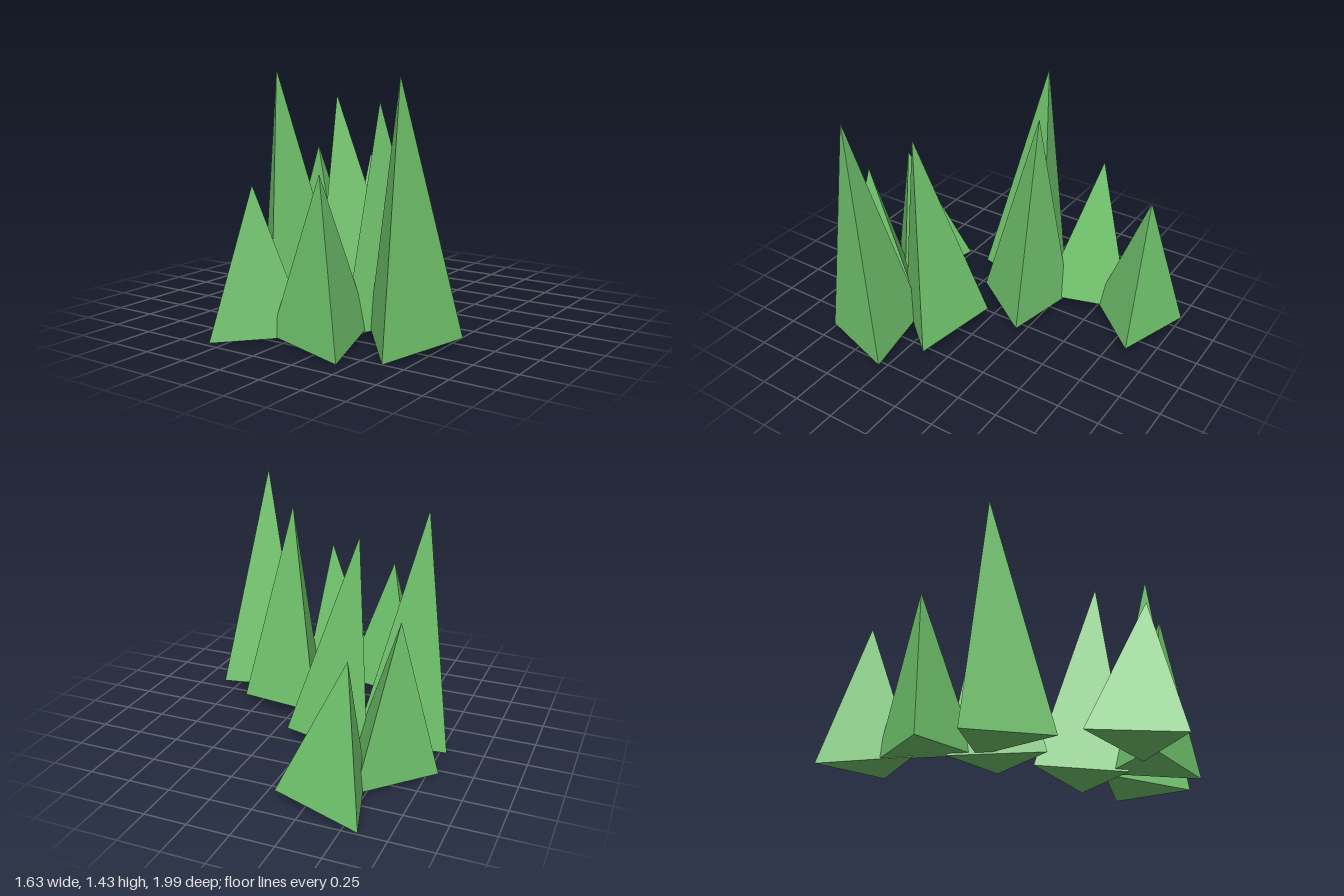
import * as THREE from 'three';

const UP = new THREE.Vector3(0, 1, 0);
const RADIUS = 0.31;

// Each blade: centre of its base, its tip, and the bearing of one base corner (degrees)
const BLADES = [
  { base: [-0.37, 0.036, -0.785], tip: [-0.45, 0.845, -0.79], bearing: 104 },
  { base: [-0.517, 0.03, -0.388], tip: [-0.6, 0.93, -0.4], bearing: 40 },
  { base: [-0.149, 0.055, -0.122], tip: [-0.264, 1.28, -0.133], bearing: 97 },
  { base: [-0.494, 0.037, 0.03], tip: [-0.613, 1.43, 0.012], bearing: 75.6 },
];

// Three-sided spike, its base square to its leaning axis
function makeBlade({ base, tip, bearing }, material) {
  const foot = new THREE.Vector3(...base);
  const axis = new THREE.Vector3(...tip).sub(foot);
  const height = axis.length();
  const geometry = new THREE.ConeGeometry(RADIUS, height, 3);
  geometry.translate(0, height / 2, 0);
  geometry.rotateY(THREE.MathUtils.degToRad(90 - bearing));
  const blade = new THREE.Mesh(geometry, material);
  blade.name = 'grassBlade';
  blade.position.copy(foot);
  blade.quaternion.setFromUnitVectors(UP, axis.normalize());
  return blade;
}

function makeTuft(name, material) {
  const tuft = new THREE.Group();
  tuft.name = name;
  for (const spec of BLADES) tuft.add(makeBlade(spec, material));
  return tuft;
}

export function createModel() {
  const model = new THREE.Group();
  model.name = 'grass';
  const green = new THREE.MeshStandardMaterial({ color: 0x70c46c, flatShading: true });

  const backTuft = makeTuft('backTuft', green);

  // The same tuft, turned and set beside the first
  const frontTuft = makeTuft('frontTuft', green);
  frontTuft.rotation.y = THREE.MathUtils.degToRad(115.3);
  frontTuft.position.set(0.341, 0, 0.025);

  model.add(backTuft, frontTuft);
  return model;
}
